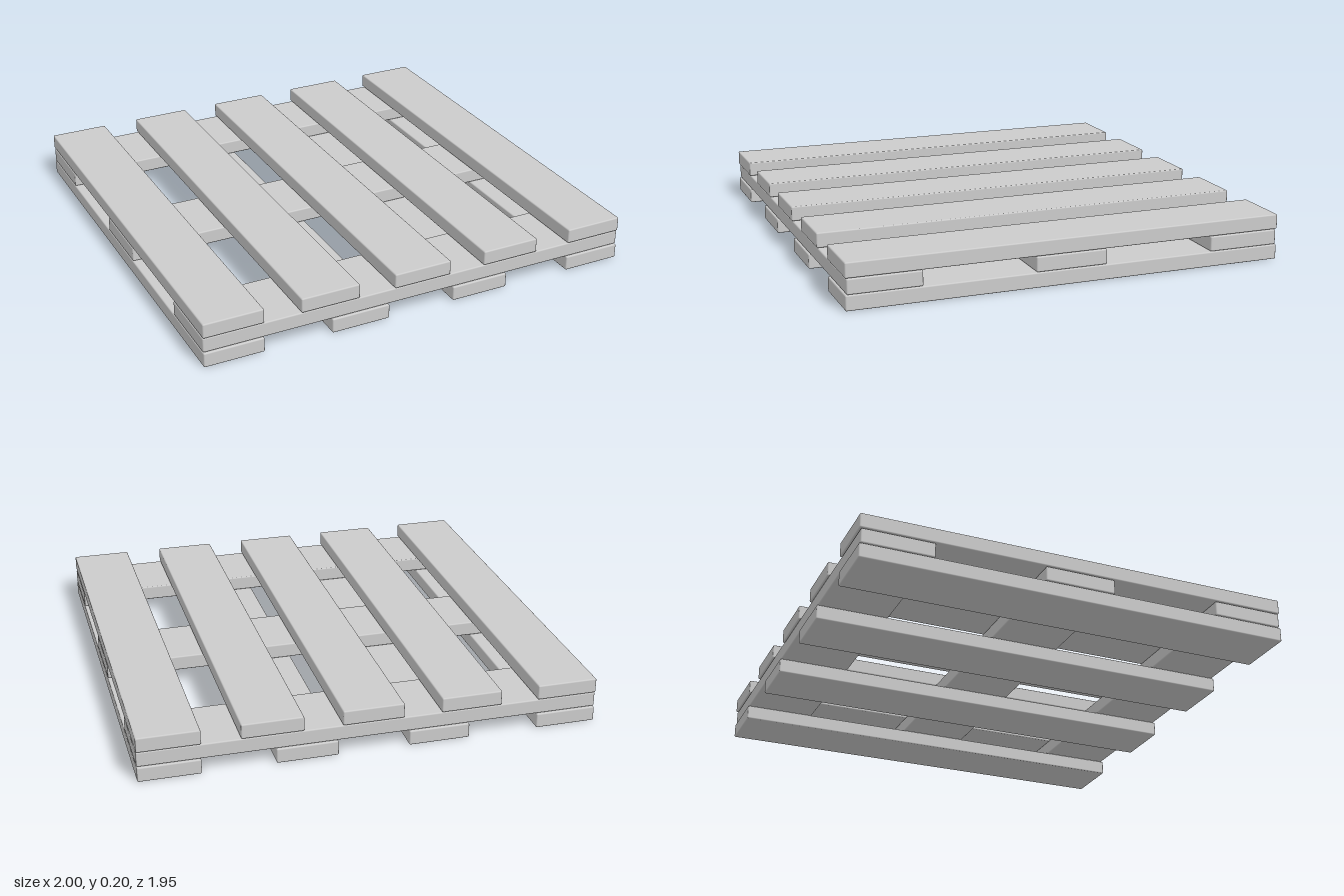
import * as THREE from 'three';
import { RoundedBoxGeometry } from 'three/addons/geometries/RoundedBoxGeometry.js';

const THICK = 0.066;
const PLANK_WIDTH = 0.267;
const LENGTH = 1.946;
const EDGE = 0.006;

export function createModel() {
  const group = new THREE.Group();
  group.name = 'pallet';
  const wood = new THREE.MeshStandardMaterial({ color: 0xcccccc });

  // A board with slightly eased edges
  function board(name, width, depth, x, y, z) {
    const mesh = new THREE.Mesh(new RoundedBoxGeometry(width, THICK, depth, 2, EDGE), wood);
    mesh.name = name;
    mesh.position.set(x, y, z);
    group.add(mesh);
  }

  // Bottom runners, front to back
  [-0.8665, -0.292, 0.285, 0.8665].forEach((x, i) =>
    board(`bottomRunner${i + 1}`, PLANK_WIDTH, LENGTH, x, 0.033, 0));

  // Cross boards, side to side
  [-0.808, 0, 0.808].forEach((z, i) =>
    board(`crossBoard${i + 1}`, 2, 0.318, 0, 0.1005, z));

  // Deck planks, front to back
  for (let i = 0; i < 5; i++) {
    board(`deckPlank${i + 1}`, PLANK_WIDTH, LENGTH, (i - 2) * 0.4333, 0.169, 0);
  }

  return group;
}
